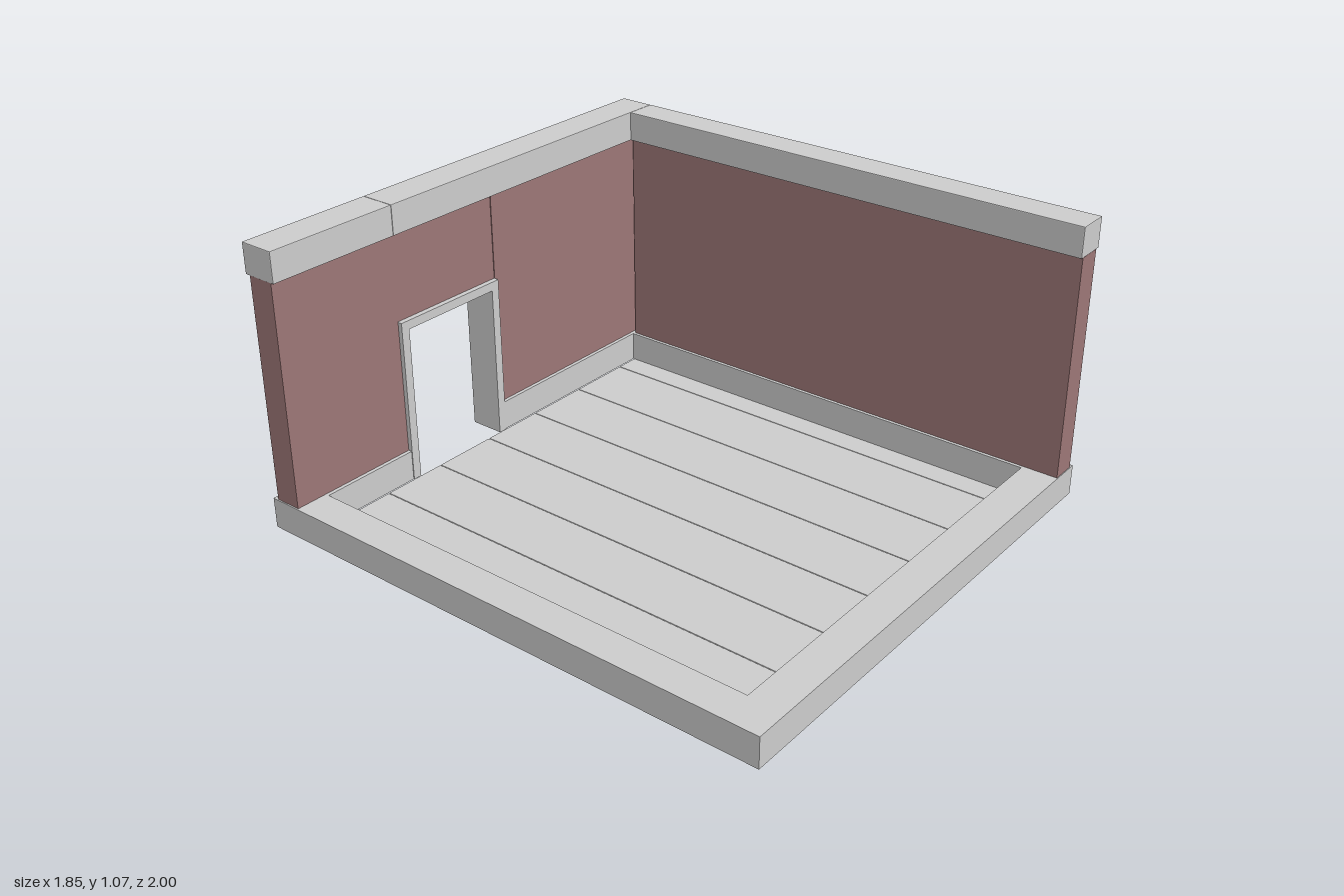
import * as THREE from 'three';
import { RoundedBoxGeometry } from 'three/addons/geometries/RoundedBoxGeometry.js';

const stone = new THREE.MeshStandardMaterial({ color: 0xcccccc, flatShading: true });
const brick = new THREE.MeshStandardMaterial({ color: 0x9c7676, flatShading: true });

// Box given by its extents on each axis, optionally with eased edges
function block(name, [x0, x1], [y0, y1], [z0, z1], material = stone, bevel = 0) {
  const size = [x1 - x0, y1 - y0, z1 - z0];
  const geometry = bevel
    ? new RoundedBoxGeometry(...size, 1, bevel)
    : new THREE.BoxGeometry(...size);
  const mesh = new THREE.Mesh(geometry, material);
  mesh.name = name;
  mesh.position.set((x0 + x1) / 2, (y0 + y1) / 2, (z0 + z1) / 2);
  return mesh;
}

function group(name, ...parts) {
  const g = new THREE.Group();
  g.name = name;
  g.add(...parts);
  return g;
}

export function createModel() {
  const W = 0.925, inner = 0.8;            // outer and inner half width
  const back = [-1, -0.868], front = [0.868, 1], side = [-0.868, 0.868];
  const base = [0.035, 0.147], wall = [0.147, 0.96], cap = [0.96, 1.07];
  const door = [-0.42, 0.05], doorTop = 0.643;

  // Floor planks, the last one cut narrower
  const floor = group('floor');
  for (let i = 0; i < 7; i++) {
    const x = -0.79 + i * 0.25;
    floor.add(block('floorPlank', [x, Math.min(x + 0.249, 0.92)], [0, 0.035], [-0.867, 0.863], stone, 0.004));
  }

  // Foundation ring, interrupted by the doorway at the back
  const foundation = group('foundation',
    block('frontBeam', [-W, W], base, front),
    block('rightBeam', [-W, -inner], base, side),
    block('leftBeam', [inner, W], base, side),
    block('backBeam', [-W, door[0]], base, back),
    block('backBeam', [door[1], W], base, back));

  // Side wall and back wall, with a slightly recessed panel over the door
  const backZ = [-0.982, -0.882];
  const walls = group('walls',
    block('sideWall', [0.812, 0.907], wall, [-0.866, 0.997], brick),
    block('backWallPanel', [-0.92, door[0]], wall, backZ, brick),
    block('backWallPanel', [door[1], 0.918], wall, backZ, brick),
    block('wallOverDoor', door, [doorTop, wall[1]], [-0.979, -0.885], brick));

  // Capping beams along the wall tops
  const caps = group('wallCaps',
    block('sideCap', [inner, W - 0.003], cap, [-0.868, 0.998], stone, 0.003),
    block('backCapLong', [door[0], W - 0.003], cap, back, stone, 0.003),
    block('backCapShort', [-0.922, door[0]], cap, back, stone, 0.003));

  // Door frame: two jambs and a head
  const t = 0.033, frameZ = [-0.996, -0.865];
  const frame = group('doorFrame',
    block('jamb', [door[0], door[0] + t], [base[0], doorTop], frameZ),
    block('jamb', [door[1] - t, door[1]], [base[0], doorTop], frameZ),
    block('head', [door[0] + t, door[1] - t], [doorTop - t, doorTop], frameZ));

  return group('cutawayRoom', floor, foundation, walls, caps, frame);
}
